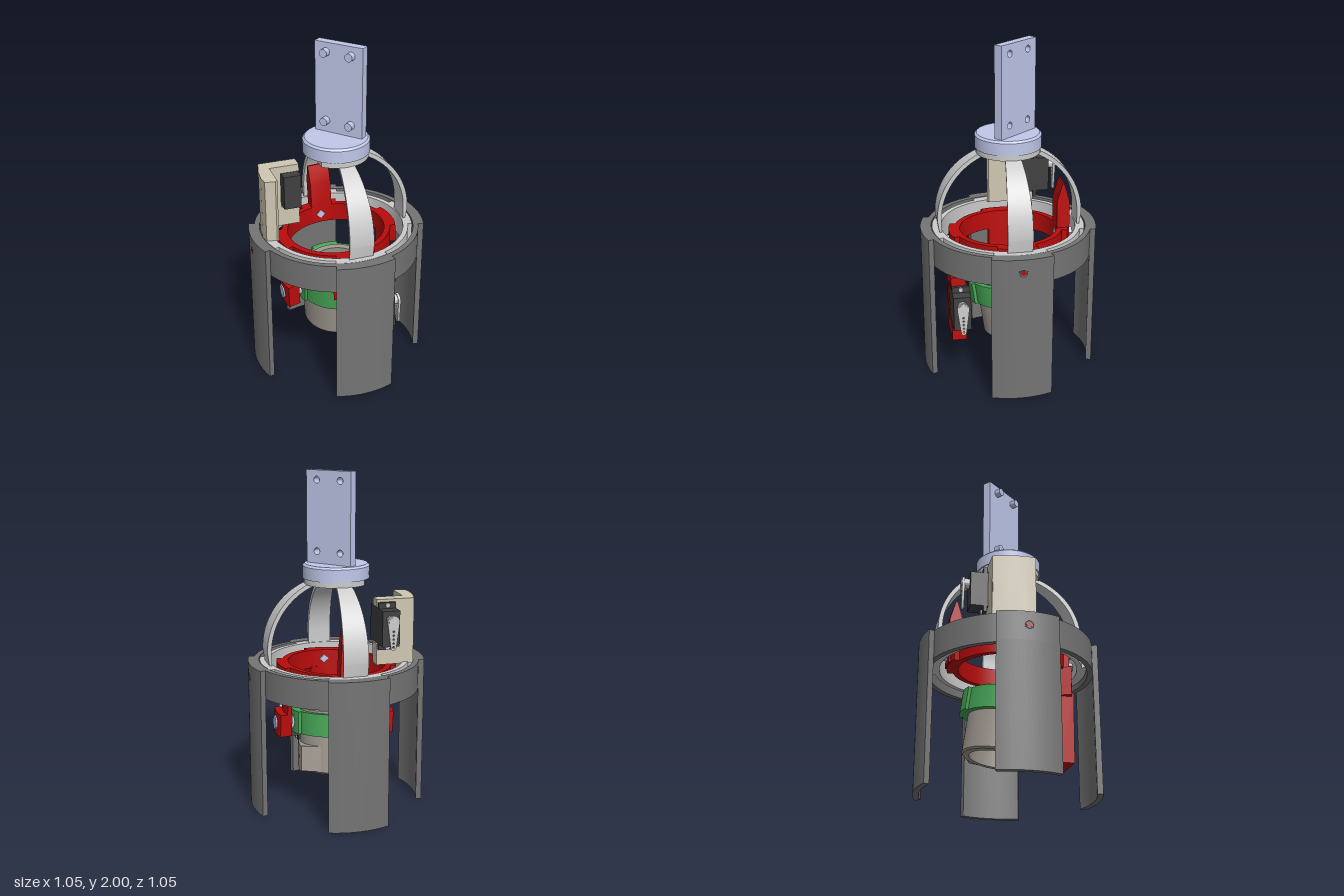
import * as THREE from 'three';
import { toCreasedNormals } from 'three/addons/utils/BufferGeometryUtils.js';

const mat = (color) => new THREE.MeshStandardMaterial({ color, side: THREE.DoubleSide });
const DARK = mat(0x747474), LIGHT = mat(0xc6c6c6), BLUE = mat(0xc0c8ea), BEIGE = mat(0xcfc7b2);
const RED = mat(0xba0c0c), GREEN = mat(0x46a556), BLACK = mat(0x404040), TAUPE = mat(0xa09890);

function add(parent, name, geo, material, x = 0, y = 0, z = 0) {
  const m = new THREE.Mesh(toCreasedNormals(geo, 0.6), material);
  m.name = name;
  m.position.set(x, y, z);
  parent.add(m);
  return m;
}
function group(parent, name, x = 0, y = 0, z = 0) {
  const g = new THREE.Group();
  g.name = name;
  g.position.set(x, y, z);
  parent.add(g);
  return g;
}
// box given by its limits
const box = (p, name, material, x0, x1, y0, y1, z0, z1) =>
  add(p, name, new THREE.BoxGeometry(x1 - x0, y1 - y0, z1 - z0), material, (x0 + x1) / 2, (y0 + y1) / 2, (z0 + z1) / 2);
// cylinders along x and z
const rodX = (r, len, n = 28) => new THREE.CylinderGeometry(r, r, len, n).rotateZ(Math.PI / 2);
const rodZ = (r, len, n = 28) => new THREE.CylinderGeometry(r, r, len, n).rotateX(Math.PI / 2);
const polygon = (pts) => new THREE.Shape(pts.map(([x, y]) => new THREE.Vector2(x, y)));
const lathe = (pts) => new THREE.LatheGeometry(pts.map(([x, y]) => new THREE.Vector2(x, y)), 64);

// plan shape pulled up from y0 to y1
function upright(shape, y0, y1) {
  return new THREE.ExtrudeGeometry(shape, { depth: y1 - y0, bevelEnabled: false, curveSegments: 20 })
    .rotateX(-Math.PI / 2).translate(0, y0, 0);
}
// curved wall section centred on angle a
function sector(rIn, rOut, a, half, y0, y1) {
  const s = new THREE.Shape();
  s.absarc(0, 0, rOut, a - half, a + half, false);
  s.absarc(0, 0, rIn, a + half, a - half, true);
  return upright(s, y0, y1);
}
// ring with four thicker lugs
function luggedRing(rIn, r, rLug, half, y0, y1) {
  const s = new THREE.Shape();
  for (let i = 0; i < 4; i++) {
    const a = i * Math.PI / 2;
    s.absarc(0, 0, rLug, a - half, a + half, false);
    s.absarc(0, 0, r, a + half, a + Math.PI / 2 - half, false);
  }
  s.closePath();
  const hole = new THREE.Path();
  for (let i = 0; i < 4; i++) hole.absarc(0, 0, rIn, -i * Math.PI / 2, -(i + 1) * Math.PI / 2, true);
  s.holes.push(hole);
  return upright(s, y0, y1);
}

// servo with its shaft along +x; origin at the shaft end of the body
function servo(parent, name, x, y, z) {
  const g = group(parent, name, x, y, z);
  box(g, 'servoBody', BLACK, -0.23, 0, -0.105, 0.105, -0.052, 0.052);
  box(g, 'servoFlange', BLACK, -0.095, -0.075, -0.14, 0.14, -0.052, 0.052);
  for (const s of [-1, 1]) add(g, 'flangeScrew', rodX(0.014, 0.03, 16), LIGHT, -0.08, s * 0.125, 0);
  add(g, 'servoShaft', rodX(0.029, 0.05), LIGHT, 0.022, 0.05, 0);
  const horn = new THREE.Shape();
  horn.absarc(0, 0, 0.036, -0.2, Math.PI + 0.2, false);
  horn.absarc(0, -0.15, 0.016, Math.PI, Math.PI * 2, false);
  horn.closePath();
  for (let i = 0; i < 5; i++) {
    const h = new THREE.Path();
    h.absarc(0, -0.055 - i * 0.023, 0.006, 0, Math.PI * 2, true);
    horn.holes.push(h);
  }
  add(g, 'servoHorn', new THREE.ExtrudeGeometry(horn, { depth: 0.015, bevelEnabled: false })
    .rotateY(Math.PI / 2), LIGHT, 0.03, 0.05, 0);
  return g;
}

export function createModel() {
  const model = new THREE.Group();
  model.name = 'gimbalAssembly';

  // outer body: collar with four thin curved legs
  const body = group(model, 'outerBody');
  add(body, 'collar', luggedRing(0.46, 0.492, 0.525, 0.346, 0.72, 0.89), DARK);
  for (let i = 0; i < 4; i++) add(body, 'leg', sector(0.492, 0.525, i * Math.PI / 2, 0.346, 0, 0.72), DARK);
  for (const s of [-1, 1]) {
    add(body, 'pivotBushing', new THREE.TorusGeometry(0.022, 0.007, 8, 28).rotateY(Math.PI / 2), DARK, s * 0.52, 0.81, 0);
    add(body, 'pivotPin', rodX(0.016, 0.03), RED, s * 0.511, 0.81, 0);
  }

  // light inner ring and the dome arms
  const dome = group(model, 'dome');
  add(dome, 'domeRing', luggedRing(0.4, 0.43, 0.455, 0.35, 0.75, 0.888), LIGHT);
  const arc = new THREE.Shape();
  arc.moveTo(0.43, 0.8);
  arc.absarc(0, 0.962, 0.43, 0, 1.3, false);
  arc.absarc(0, 0.962, 0.405, 1.3, 0, true);
  arc.lineTo(0.405, 0.8);
  for (const turn of [0, 1, -1]) {
    const geo = new THREE.ExtrudeGeometry(arc, { depth: 1, bevelEnabled: false, curveSegments: 32 }).translate(0, 0, -0.5);
    const p = geo.attributes.position;
    // arms narrow towards the crown
    for (let i = 0; i < p.count; i++) p.setZ(i, p.getZ(i) * 2 * (0.026 + 0.11 * p.getX(i)));
    add(dome, 'domeArm', geo, LIGHT).rotation.y = turn * Math.PI / 2;
  }
  // crown: a washer cut flat on the open side
  const crown = new THREE.Shape();
  crown.absarc(0, 0, 0.188, -2.37, 2.37, false);
  crown.closePath();
  const crownHole = new THREE.Path();
  crownHole.absarc(0, 0, 0.06, 0, Math.PI * 2, true);
  crown.holes.push(crownHole);
  add(dome, 'crown', upright(crown, 1.347, 1.382), LIGHT);

  // mounting disc and drilled plate with screws
  const mount = group(model, 'topMount');
  add(mount, 'mountDisc', lathe([[0, 1.38], [0.195, 1.38], [0.195, 1.453], [0.183, 1.465], [0, 1.465]]), BLUE);
  add(mount, 'mountBolt', new THREE.CylinderGeometry(0.035, 0.035, 0.02, 24), BLUE, 0, 1.372, 0);
  const plate = group(mount, 'mountPlate', 0.04, 0, -0.035);
  plate.rotation.y = -0.855;
  const outline = polygon([[-0.152, 1.46], [0.152, 1.46], [0.152, 2], [-0.152, 2]]);
  for (const x of [-0.08, 0.08]) for (const y of [1.535, 1.945]) {
    const h = new THREE.Path();
    h.absarc(x, y, 0.02, 0, Math.PI * 2, true);
    outline.holes.push(h);
    add(plate, 'plateScrew', rodZ(0.024, 0.036, 24), BLUE, x, y, 0.044);
  }
  add(plate, 'plateBoard', new THREE.ExtrudeGeometry(outline, { depth: 0.052, bevelEnabled: false }), BLUE, 0, 0, -0.026);

  // beige bracket with the upper servo
  const bracket = group(model, 'servoBracket');
  const wall = polygon([[-0.447, 0.085], [-0.422, 0.182], [-0.375, 0.182], [-0.375, -0.06], [-0.39, -0.07],
    [-0.45, -0.06], [-0.455, 0]]);
  add(bracket, 'bracketWall', upright(wall, 0.88, 1.27), BEIGE);
  const fork = polygon([[-0.42, 0.88], [-0.195, 0.88], [-0.195, 1.005], [-0.308, 1.005], [-0.308, 1.225],
    [-0.195, 1.225], [-0.195, 1.27], [-0.42, 1.27]]);
  add(bracket, 'bracketFork', new THREE.ExtrudeGeometry(fork, { depth: 0.08, bevelEnabled: false }), BEIGE, 0, 0, -0.185);
  servo(bracket, 'upperServo', -0.25, 1.115, -0.285).rotation.y = Math.PI / 2;

  // red middle gimbal, tilted about the z axis through y = 0.81
  const pivot = group(model, 'middleGimbal', 0, 0.81, 0);
  pivot.rotation.z = 0.045;
  const red = group(pivot, 'middleGimbalParts', 0, -0.81, 0);
  add(red, 'gimbalRing', luggedRing(0.29, 0.325, 0.358, 0.34, 0.75, 0.865), RED);
  const spike = polygon([[-0.36, 0.76], [-0.285, 0.76], [-0.285, 1.03], [-0.318, 1.14], [-0.328, 1.14], [-0.36, 1.03]]);
  add(red, 'leverSpike', new THREE.ExtrudeGeometry(spike, { depth: 0.13, bevelEnabled: false })
    .rotateY(-Math.PI / 2), RED, 0.074, 0, 0);
  for (const s of [-1, 1]) {
    const a = s > 0 ? 0 : Math.PI;
    add(red, 'hangerArm', sector(0.29, 0.318, a, 0.26, 0.55, 0.76), RED);
    add(red, 'hangerBlock', sector(0.285, 0.36, a, 0.26, 0.435, 0.57), RED);
    add(red, 'hangerPin', rodX(0.042, 0.13), BLUE, s * 0.302, 0.5, 0);
    add(red, 'gimbalPin', rodZ(0.028, 0.11, 4), BLUE, 0, 0.81, s * 0.335);
  }
  // hanging holder with the lower servo
  const holder = group(red, 'lowerServoHolder', -0.018, 0, 0);
  add(holder, 'holderHanger', sector(0.29, 0.366, -Math.PI / 2, 0.36, 0.59, 0.76), RED);
  const frame = polygon([[-0.09, 0.2], [0.142, 0.2], [0.142, 0.3], [0.0, 0.3], [0.0, 0.54], [0.142, 0.54],
    [0.142, 0.61], [-0.09, 0.61]]);
  add(holder, 'holderFrame', new THREE.ExtrudeGeometry(frame, { depth: 0.088, bevelEnabled: false }), RED, 0, 0, 0.278);
  servo(holder, 'lowerServo', 0.245, 0.42, 0.312);

  // green inner ring carrying the tilted sleeve
  const inner = group(red, 'innerGimbal', 0, 0.51, -0.013);
  inner.rotation.x = 0.135;
  add(inner, 'clampRing', luggedRing(0.205, 0.237, 0.257, 0.34, -0.067, 0.067), GREEN);
  add(inner, 'sleeve', lathe([[0.165, -0.295], [0.2, -0.295], [0.208, -0.285], [0.208, 0.08], [0.2, 0.088],
    [0.165, 0.088], [0.165, -0.295]]), TAUPE);
  // side ear on the sleeve
  const ear = polygon([[0.1, 0.175], [0.235, 0.125], [0.238, 0.1], [0.218, -0.03], [0.2, -0.08], [0.18, 0], [0.15, 0.1]]);
  add(inner, 'sleeveEar', upright(ear, -0.28, -0.13), TAUPE);
  add(inner, 'earPin', rodX(0.012, 0.03, 16), BLACK, 0.222, -0.2, -0.08);
  return model;
}
